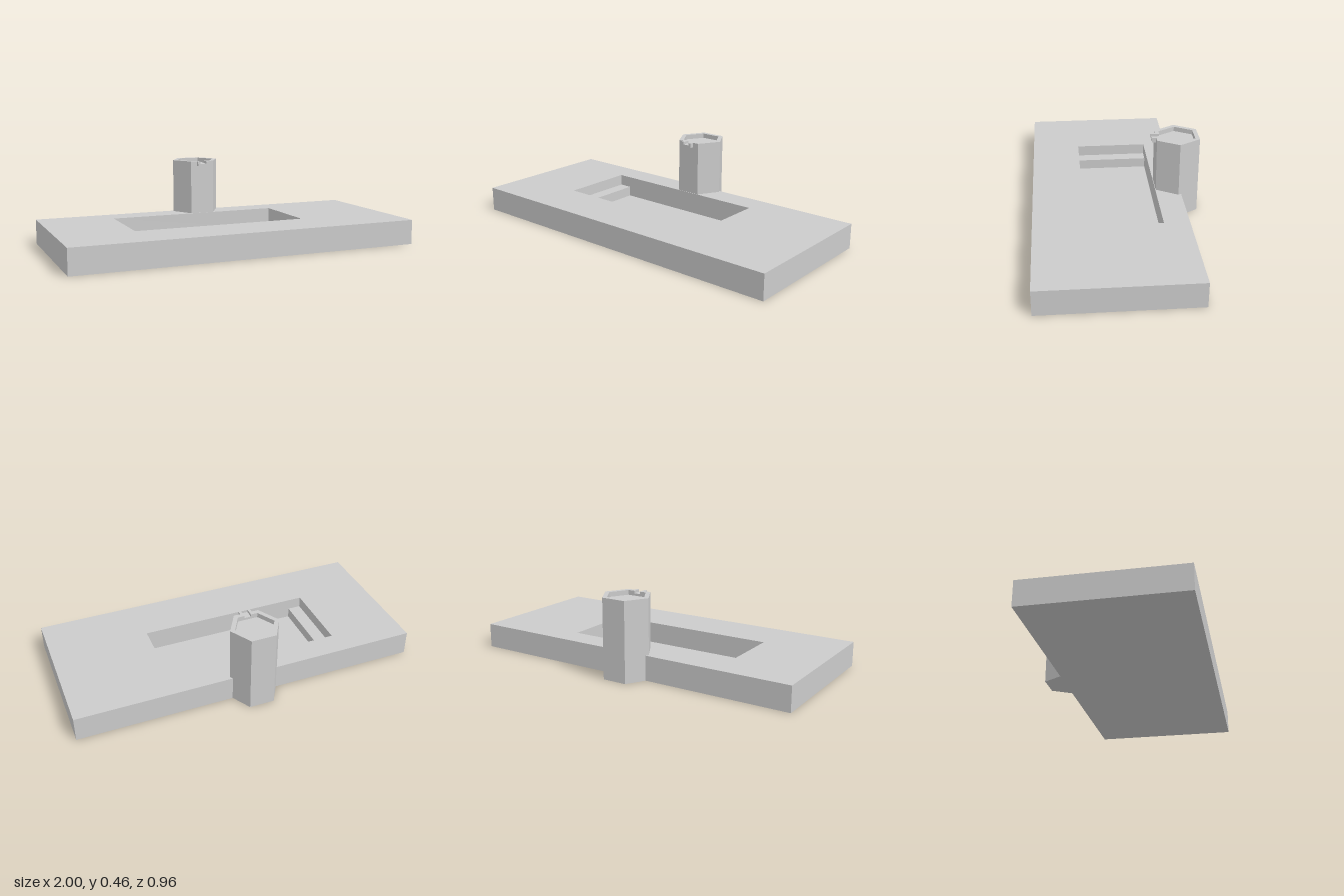
import * as THREE from 'three';

const material = new THREE.MeshStandardMaterial({ color: 0xcccccc, flatShading: true });

// Outline given as [x, z] pairs, raised from y0 to y1, with an optional hole
function prism(name, outline, y0, y1, hole) {
  const toVectors = (pts) => pts.map(([x, z]) => new THREE.Vector2(x, -z));
  const shape = new THREE.Shape(toVectors(outline));
  // Holes run opposite to the outline so their walls face inward
  if (hole) shape.holes.push(new THREE.Path(toVectors(hole).reverse()));
  const geometry = new THREE.ExtrudeGeometry(shape, { depth: y1 - y0, bevelEnabled: false });
  geometry.rotateX(-Math.PI / 2).translate(0, y0, 0);
  const mesh = new THREE.Mesh(geometry, material);
  mesh.name = name;
  return mesh;
}

// Outlines run counterclockwise as seen from above
const rect = (x0, x1, z0, z1) => [[x0, z1], [x1, z1], [x1, z0], [x0, z0]];

// Hexagon with corners on the x axis, starting at the front right corner
const CX = -0.02, CZ = -0.358;
const hexagon = (r) => Array.from({ length: 6 }, (_, i) => {
  const a = Math.PI / 3 - i * Math.PI / 3;
  return [CX + r * Math.cos(a), CZ + r * Math.sin(a)];
});

export function createModel() {
  const model = new THREE.Group();
  model.name = 'poolWithColumn';

  // Slab with a sunken rectangular pool and one step
  const slabOutline = rect(-1, 1, -0.375, 0.48);
  const poolBack = -0.232, poolFront = 0.194;
  const poolOutline = rect(-0.575, 0.43, poolBack, poolFront);
  const floorY = 0.018, slabTop = 0.142;
  model.add(
    prism('poolFloor', slabOutline, 0, floorY),
    prism('poolDeck', slabOutline, floorY, slabTop, poolOutline),
    prism('poolStep', rect(-0.575, -0.5, poolBack, poolFront), floorY, 0.077),
  );

  // Hexagonal column with a shallow basin in its top
  const outer = hexagon(0.142), inner = hexagon(0.114);
  const basinY = 0.43, channelY = 0.443, topY = 0.457;
  model.add(
    prism('column', outer, 0, basinY),
    prism('basinWall', outer, basinY, channelY, inner),
  );

  // Spout floor, then the rim and spout sides, left open along the channel
  const lip = -0.212, face = outer[0][1], innerFace = inner[0][1];
  const half = 0.034, gap = 0.019;
  model.add(
    prism('spoutFloor', rect(CX - half, CX + half, face, lip), basinY, channelY),
    prism('basinRim', [
      [CX + gap, lip], [CX + half, lip], [CX + half, face],
      ...outer,
      [CX - half, face], [CX - half, lip], [CX - gap, lip], [CX - gap, innerFace],
      ...inner.slice().reverse(),
      [CX + gap, innerFace],
    ], channelY, topY),
  );
  return model;
}
